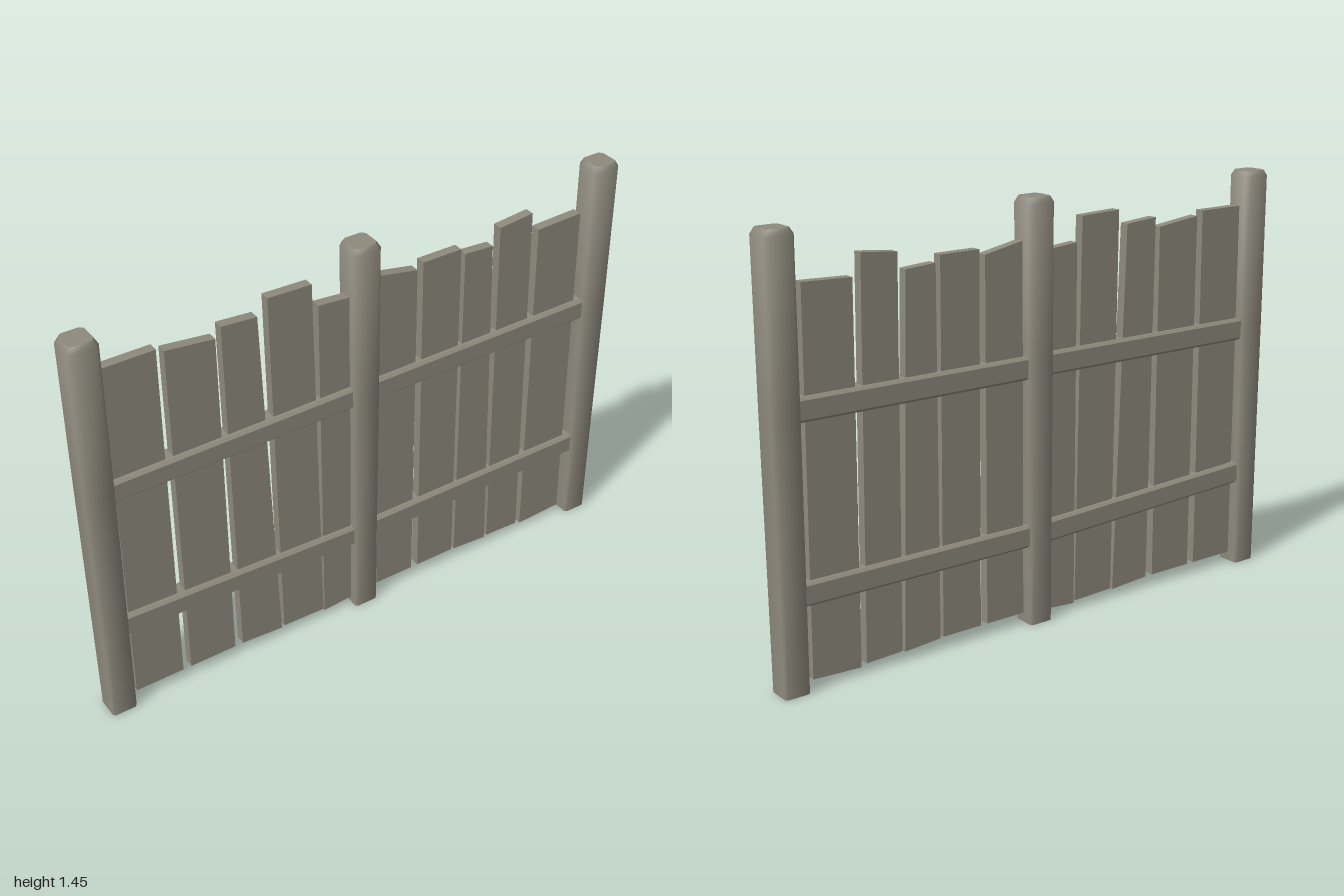
import * as THREE from 'three';
import { toCreasedNormals } from 'three/addons/utils/BufferGeometryUtils.js';

// Square or rectangular outline with cut corners, counter-clockwise.
function chamferedRing(hu, hv, c) {
  return [
    [hu, -hv + c], [hu, hv - c], [hu - c, hv], [-hu + c, hv],
    [-hu, hv - c], [-hu, -hv + c], [-hu + c, -hv], [hu - c, -hv],
  ];
}

// Skin equal-length rings of [x, y, z] points and cap both ends.
function loft(rings) {
  const n = rings[0].length;
  const index = [];
  for (let r = 0; r < rings.length - 1; r++) {
    for (let i = 0; i < n; i++) {
      const j = (i + 1) % n;
      const a = r * n + i, b = r * n + j;
      index.push(a, b, b + n, a, b + n, a + n);
    }
  }
  const last = (rings.length - 1) * n;
  for (let i = 1; i < n - 1; i++) {
    index.push(0, i + 1, i);
    index.push(last, last + i, last + i + 1);
  }
  const geometry = new THREE.BufferGeometry();
  geometry.setAttribute('position', new THREE.Float32BufferAttribute(rings.flat(2), 3));
  geometry.setIndex(index);
  return geometry;
}

export function createModel() {
  const fence = new THREE.Group();
  fence.name = 'fence';
  const wood = new THREE.MeshStandardMaterial({ color: 0x8e8a7d });
  wood.name = 'weathered wood';

  const add = (name, geometry) => {
    const mesh = new THREE.Mesh(geometry, wood);
    mesh.name = name;
    fence.add(mesh);
    return mesh;
  };

  // Posts: slightly wider toward the top, with softened corners and a bevelled cap
  const postLevels = [
    [0, 0.044, 0.008], [0.4, 0.047, 0.012], [0.9, 0.05, 0.014],
    [1.43, 0.0515, 0.015], [1.45, 0.041, 0.012],
  ];
  const postGeometry = toCreasedNormals(loft(postLevels.map(([y, h, c]) =>
    chamferedRing(h, h, c).map(([u, v]) => [u, y, -v]))), 0.95);
  [['rightPost', -0.9485], ['middlePost', 0.004], ['leftPost', 0.9485]].forEach(([name, x]) => {
    add(name, postGeometry).position.x = x;
  });

  // Rails: bevelled bars; start x, centre y, end x, centre y
  const rails = [
    ['upperRightRail', -0.91, 0.889, -0.03, 0.897],
    ['lowerRightRail', -0.91, 0.351, -0.03, 0.317],
    ['upperLeftRail', 0.04, 0.895, 0.91, 0.902],
    ['lowerLeftRail', 0.04, 0.316, 0.91, 0.32],
  ];
  for (const [name, x0, y0, x1, y1] of rails) {
    const ring = (x, y) => chamferedRing(0.039, 0.036, 0.009).map(([u, v]) => [x, y + u, v]);
    add(name, toCreasedNormals(loft([ring(x0, y0), ring(x1, y1)]), 0.3));
  }

  // Planks: bottom x pair, bottom y pair, top x pair, top y pair
  const planks = [
    [-0.89, -0.715, 0.04, 0.04, -0.89, -0.715, 1.33, 1.33],
    [-0.685, -0.515, 0.04, 0.04, -0.69, -0.52, 1.315, 1.295],
    [-0.485, -0.33, 0.04, 0.03, -0.5, -0.375, 1.33, 1.32],
    [-0.32, -0.16, 0.035, 0.03, -0.338, -0.182, 1.372, 1.367],
    [-0.155, -0.045, 0.022, 0.03, -0.16, -0.045, 1.283, 1.273],
    [0.063, 0.213, 0.042, 0.042, 0.063, 0.21, 1.313, 1.285],
    [0.24, 0.39, 0.042, 0.042, 0.232, 0.38, 1.305, 1.305],
    [0.402, 0.54, 0.04, 0.03, 0.397, 0.507, 1.282, 1.275],
    [0.55, 0.685, 0.035, 0.03, 0.535, 0.665, 1.333, 1.346],
    [0.705, 0.88, 0.022, 0.03, 0.695, 0.87, 1.275, 1.282],
  ];
  const thickness = 0.034;
  planks.forEach(([bx0, bx1, by0, by1, tx0, tx1, ty0, ty1], i) => {
    const outline = new THREE.Shape([[bx0, by0], [bx1, by1], [tx1, ty1], [tx0, ty0]]
      .map(([x, y]) => new THREE.Vector2(x, y)));
    const geometry = new THREE.ExtrudeGeometry(outline, { depth: thickness, bevelEnabled: false });
    geometry.translate(0, 0, -thickness / 2);
    add(`plank${i + 1}`, geometry);
  });

  return fence;
}
